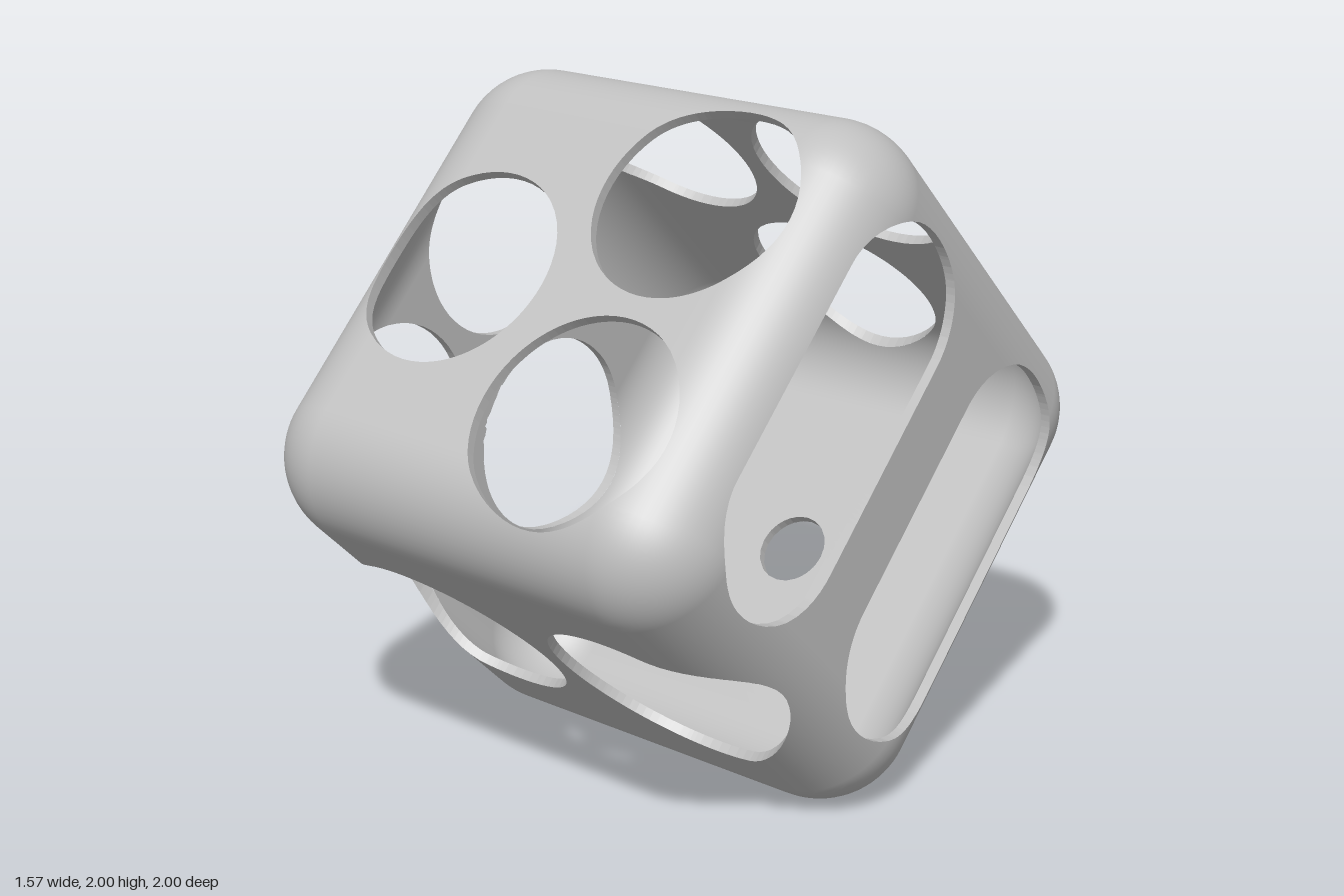
import * as THREE from 'three';

const HALF = 0.785, ROUND = 0.266, WALL = 0.03;
const CORE = HALF - ROUND; // half size of the flat part of each face

// Openings, in the cube's own frame: a cylinder or slot along one axis.
const hole = (axis, sign, from, to, r) => ({
  axis, sign, r,
  from: new THREE.Vector3(...from),
  span: new THREE.Vector3(...to).sub(new THREE.Vector3(...from)),
});
const round = (axis, sign, c, r) => hole(axis, sign, c, c, r);
const HOLES = [
  // upper front face
  round(1, 1, [-0.35, 0, 0], 0.315),
  round(1, 1, [0.298, 0, 0.35], 0.315),
  round(1, 1, [0.298, 0, -0.35], 0.315),
  // upper back face
  round(2, -1, [0, -0.345, 0], 0.315),
  round(2, -1, [0.35, 0.297, 0], 0.315),
  round(2, -1, [-0.35, 0.297, 0], 0.315),
  // lower front face
  round(2, 1, [0.39, 0, 0], 0.355),
  round(2, 1, [-0.39, 0, 0], 0.355),
  // lower back face
  round(1, -1, [0, 0, 0], 0.113),
  // left face: two long slots
  hole(0, 1, [0, 0.372, -0.335], [0, 0.372, 0.335], 0.26),
  hole(0, 1, [0, -0.372, -0.335], [0, -0.372, 0.335], 0.26),
  // right face
  round(0, -1, [0, 0.3, -0.35], 0.315),
  round(0, -1, [0, 0.3, 0.35], 0.315),
  round(0, -1, [0, -0.345, 0], 0.315),
];

// Signed distance from a point to the nearest opening (negative inside it).
function nearestHole(p) {
  let best = 10, which = null;
  for (const h of HOLES) {
    if (p.getComponent(h.axis) * h.sign <= 0) continue;
    const q = p.clone().sub(h.from).setComponent(h.axis, 0);
    const len = h.span.lengthSq();
    if (len > 0) q.addScaledVector(h.span, -THREE.MathUtils.clamp(q.dot(h.span) / len, 0, 1));
    const d = q.length() - h.r;
    if (d < best) { best = d; which = h; }
  }
  return { d: best, which };
}

const coreOf = (p) => p.clone().clampScalar(-CORE, CORE);

// Follow an opening's axis from the outer skin to the inner skin.
function inward(p, h) {
  const q = p.clone();
  let room = (ROUND - WALL) ** 2;
  for (let i = 0; i < 3; i++) {
    if (i !== h.axis) room -= Math.max(Math.abs(p.getComponent(i)) - CORE, 0) ** 2;
  }
  return q.setComponent(h.axis, h.sign * (CORE + Math.sqrt(Math.max(room, 0))));
}

// Grid steps across one face: [core position, slope of the rounding].
const FLAT = 32, BEND = 8, steps = [];
for (let i = BEND; i > 0; i--) steps.push([-CORE, -Math.tan((i / BEND) * Math.PI / 4)]);
for (let i = 0; i <= FLAT; i++) steps.push([-CORE + (2 * CORE * i) / FLAT, 0]);
for (let i = 1; i <= BEND; i++) steps.push([CORE, Math.tan((i / BEND) * Math.PI / 4)]);

function facePoint(axis, sign, s, t, radius) {
  const core = new THREE.Vector3(), n = new THREE.Vector3();
  const u = (axis + 1) % 3, v = (axis + 2) % 3;
  core.setComponent(axis, sign * CORE).setComponent(u, s[0]).setComponent(v, t[0]);
  n.setComponent(axis, sign).setComponent(u, s[1]).setComponent(v, t[1]).normalize();
  return core.addScaledVector(n, radius);
}

// One skin of the rounded cube, trimmed at the openings; rim gets the cut edges.
function skin(radius, inside, rim) {
  const pos = [], nor = [];
  const put = (p) => {
    const n = p.clone().sub(coreOf(p)).normalize().multiplyScalar(inside ? -1 : 1);
    pos.push(p.x, p.y, p.z);
    nor.push(n.x, n.y, n.z);
  };
  const trim = (tri) => {
    const kept = [];
    let exit = null, entry = null;
    for (let i = 0; i < 3; i++) {
      const a = tri[i], b = tri[(i + 1) % 3];
      if (a.d > 0) kept.push(a.p);
      if ((a.d > 0) !== (b.d > 0)) {
        const c = a.p.clone().lerp(b.p, a.d / (a.d - b.d));
        kept.push(c);
        if (a.d > 0) exit = c; else entry = c;
      }
    }
    for (let i = 2; i < kept.length; i++) [kept[0], kept[i - 1], kept[i]].forEach(put);
    if (exit && rim) {
      const h = nearestHole(exit.clone().lerp(entry, 0.5)).which;
      const a = inward(exit, h), b = inward(entry, h);
      for (const p of [entry, exit, a, entry, a, b]) rim.push(p.x, p.y, p.z);
    }
  };
  for (let axis = 0; axis < 3; axis++) for (const sign of [1, -1]) {
    const grid = steps.map((s) => steps.map((t) => {
      const p = facePoint(axis, sign, s, t, radius);
      return { p, d: nearestHole(p).d };
    }));
    const flip = (sign < 0) !== inside;
    for (let i = 0; i + 1 < steps.length; i++) for (let j = 0; j + 1 < steps.length; j++) {
      const a = grid[i][j], b = grid[i + 1][j], c = grid[i + 1][j + 1], d = grid[i][j + 1];
      trim(flip ? [a, c, b] : [a, b, c]);
      trim(flip ? [a, d, c] : [a, c, d]);
    }
  }
  const g = new THREE.BufferGeometry();
  g.setAttribute('position', new THREE.Float32BufferAttribute(pos, 3));
  g.setAttribute('normal', new THREE.Float32BufferAttribute(nor, 3));
  return g;
}

export function createModel() {
  const grey = new THREE.MeshStandardMaterial({ color: 0xc0c0c0 });
  grey.name = 'light grey';

  const rimPoints = [];
  const outer = skin(ROUND, false, rimPoints);
  const inner = skin(ROUND - WALL, true, null);
  const rims = new THREE.BufferGeometry();
  rims.setAttribute('position', new THREE.Float32BufferAttribute(rimPoints, 3));
  rims.computeVertexNormals();

  // The hollow cube stands on one edge.
  const cube = new THREE.Group();
  cube.name = 'hollowCube';
  for (const [name, geometry] of [['outerShell', outer], ['innerShell', inner], ['holeRims', rims]]) {
    const mesh = new THREE.Mesh(geometry, grey);
    mesh.name = name;
    cube.add(mesh);
  }
  cube.rotation.x = Math.PI / 4;
  cube.position.y = 1;

  const model = new THREE.Group();
  model.name = 'piercedCube';
  model.add(cube);
  return model;
}
